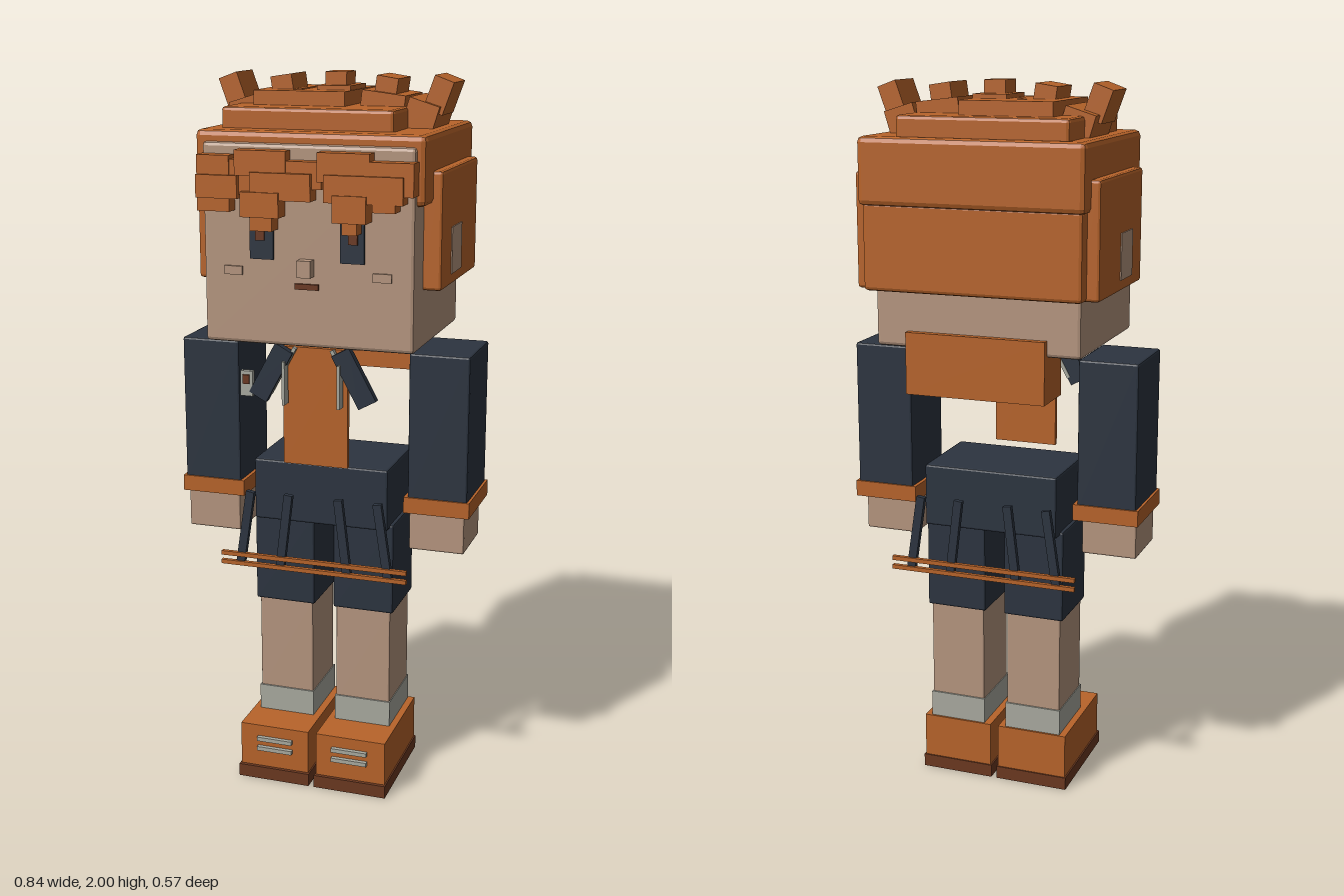
import * as THREE from 'three';
import { RoundedBoxGeometry } from 'three/addons/geometries/RoundedBoxGeometry.js';

function material(name, color) {
  const m = new THREE.MeshStandardMaterial({ color });
  m.name = name;
  return m;
}

export function createModel() {
  const root = new THREE.Group();
  root.name = 'blockFigure';
  const orange = material('orange', 0xb8642a);
  const navy = material('navy', 0x2c3440);
  const skin = material('skin', 0xb6967f);
  const grey = material('grey', 0xa9aaa0);
  const brown = material('brown', 0x6b3820);

  // Box from min/max ranges, with an optional flat chamfer and a tilt about z
  function box(name, mat, [x0, x1], [y0, y1], [z0, z1], bevel = 0, tilt = 0) {
    const w = x1 - x0, h = y1 - y0, d = z1 - z0;
    const geo = bevel ? new RoundedBoxGeometry(w, h, d, 1, bevel) : new THREE.BoxGeometry(w, h, d);
    if (bevel) geo.computeVertexNormals();
    const mesh = new THREE.Mesh(geo, mat);
    mesh.name = name;
    mesh.position.set((x0 + x1) / 2, (y0 + y1) / 2, (z0 + z1) / 2);
    mesh.rotation.z = tilt;
    root.add(mesh);
    return mesh;
  }
  // Range [a, b] flipped to the given side
  const flip = (s, a, b) => (s > 0 ? [a, b] : [-b, -a]);

  // Head and neck
  box('head', skin, [-0.29, 0.29], [1.3, 1.83], [-0.23, 0.23], 0.01);
  box('neck', skin, [-0.09, 0.09], [1.265, 1.31], [-0.1, 0.08]);
  box('nose', skin, [-0.02, 0.018], [1.49, 1.535], [0.225, 0.26]);
  box('mouth', brown, [-0.033, 0.032], [1.455, 1.47], [0.229, 0.238]);

  // Hair cap with stacked layers
  box('hairCap', orange, [-0.314, 0.314], [1.68, 1.86], [-0.285, 0.22], 0.015);
  box('hairBack', orange, [-0.305, 0.305], [1.455, 1.69], [-0.275, -0.21], 0.01);
  box('hairLayerLower', orange, [-0.265, 0.21], [1.85, 1.915], [-0.265, 0.155], 0.01);
  box('hairLayerUpper', orange, [-0.205, 0.05], [1.9, 1.953], [-0.22, 0.07]);

  // Spikes across the crown: a broad base and a narrower tip
  box('spikeBase', orange, [-0.047, 0.047], [1.91, 1.965], [-0.13, 0.01]);
  box('spikeTip', orange, [-0.03, 0.03], [1.95, 2], [-0.09, -0.01]);

  for (const s of [-1, 1]) {
    box('spikeBaseInner', orange, flip(s, 0.08, 0.2), [1.895, 1.95], [-0.145, 0.025], 0, -s * 0.12);
    box('spikeTipInner', orange, flip(s, 0.115, 0.175), [1.93, 1.99], [-0.11, 0.01], 0, -s * 0.15);
    box('spikeBaseOuter', orange, flip(s, 0.2, 0.285), [1.85, 1.93], [-0.145, 0.025], 0, -s * 0.3);
    box('spikeTipOuter', orange, flip(s, 0.26, 0.315), [1.9, 1.99], [-0.11, 0.01], 0, -s * 0.35);

    // Side hair and ears
    box('hairSide', orange, flip(s, 0.28, 0.34), [1.455, 1.765], [-0.238, 0.148], 0.008);
    box('ear', skin, flip(s, 0.33, 0.343), [1.485, 1.61], [-0.055, 0.05]);

    // Eyes and cheeks
    box('eye', navy, flip(s, 0.092, 0.157), [1.53, 1.65], [0.229, 0.238]);
    box('pupil', brown, flip(s, 0.115, 0.14), [1.58, 1.605], [0.236, 0.243]);
    box('cheek', skin, flip(s, 0.18, 0.23), [1.485, 1.508], [0.228, 0.237]);

    // Lapels and hanging cords
    box('lapel', navy, flip(s, 0.09, 0.145), [1.135, 1.295], [0.178, 0.2], 0, s * 0.5);
    box('lapelTrim', grey, flip(s, 0.074, 0.082), [1.13, 1.25], [0.18, 0.21]);
    box('lapelEdge', grey, flip(s, 0.083, 0.093), [1.145, 1.295], [0.176, 0.19], 0, s * 0.5);

    // Arms
    box('sleeve', navy, flip(s, 0.245, 0.413), [0.86, 1.275], [-0.11, 0.108], 0.006);
    box('cuff', orange, flip(s, 0.235, 0.42), [0.825, 0.87], [-0.115, 0.113]);
    box('hand', skin, flip(s, 0.25, 0.406), [0.718, 0.83], [-0.075, 0.105], 0.005);

    // Legs
    box('shortsLeg', navy, flip(s, 0.028, 0.205), [0.515, 0.78], [-0.102, 0.102], 0.006);
    box('leg', skin, flip(s, 0.035, 0.196), [0.23, 0.52], [-0.095, 0.095], 0.005);
    box('sock', grey, flip(s, 0.033, 0.198), [0.16, 0.24], [-0.1, 0.1]);

    // Shoes with laces
    box('shoe', orange, flip(s, 0.012, 0.217), [0.035, 0.165], [-0.106, 0.21]);
    box('sole', brown, flip(s, 0.008, 0.221), [0, 0.037], [-0.11, 0.22]);
    for (const y of [0.09, 0.12]) {
      box('lace', grey, flip(s, 0.06, 0.165), [y, y + 0.012], [0.205, 0.222]);
    }

    // Skirt straps and trim lines, in front and behind
    for (const z of [-0.19, 0.19]) {
      for (const [x, tilt] of [[0.085, 0.12], [0.2, 0.15]]) {
        box('strap', navy, flip(s, x - 0.012, x + 0.012), [0.65, 0.87], [z - 0.008, z + 0.008], 0, s * tilt);
      }
    }
  }
  for (const z of [-0.198, 0.198]) {
    for (const y of [0.656, 0.682]) {
      box('skirtTrim', orange, [-0.27, 0.27], [y - 0.006, y + 0.006], [z - 0.006, z + 0.006]);
    }
  }

  // Fringe locks: x0, x1, y0, y1, front z
  const locks = [
    [-0.29, -0.2, 1.655, 1.8, 0.27], [-0.245, -0.04, 1.7, 1.79, 0.265],
    [-0.185, -0.045, 1.75, 1.815, 0.27], [-0.05, 0.05, 1.72, 1.79, 0.265],
    [0.04, 0.18, 1.74, 1.815, 0.27], [0.17, 0.295, 1.71, 1.795, 0.27],
    [-0.29, -0.175, 1.69, 1.75, 0.28], [-0.14, 0.025, 1.69, 1.76, 0.28],
    [0.06, 0.27, 1.69, 1.76, 0.28], [-0.165, -0.06, 1.645, 1.71, 0.285],
    [-0.14, -0.08, 1.61, 1.66, 0.28], [0.085, 0.175, 1.64, 1.71, 0.285],
    [0.11, 0.15, 1.61, 1.65, 0.28], [0.19, 0.25, 1.67, 1.71, 0.28],
  ];
  for (const [x0, x1, y0, y1, z] of locks) {
    box('fringeLock', orange, [x0, x1], [y0, y1], [0.215, z]);
  }

  // Hood, front panel and chest badge
  box('hood', orange, [-0.197, 0.197], [1.175, 1.345], [-0.25, -0.112]);
  box('frontPanel', orange, [-0.092, 0.092], [0.955, 1.285], [0.155, 0.17]);
  box('badge', grey, [-0.205, -0.17], [1.145, 1.215], [0.185, 0.2]);
  box('badgeMark', brown, [-0.197, -0.178], [1.18, 1.205], [0.198, 0.206]);

  // Hips of the shorts
  box('hips', navy, [-0.195, 0.195], [0.77, 0.947], [-0.137, 0.13], 0.006);

  return root;
}
